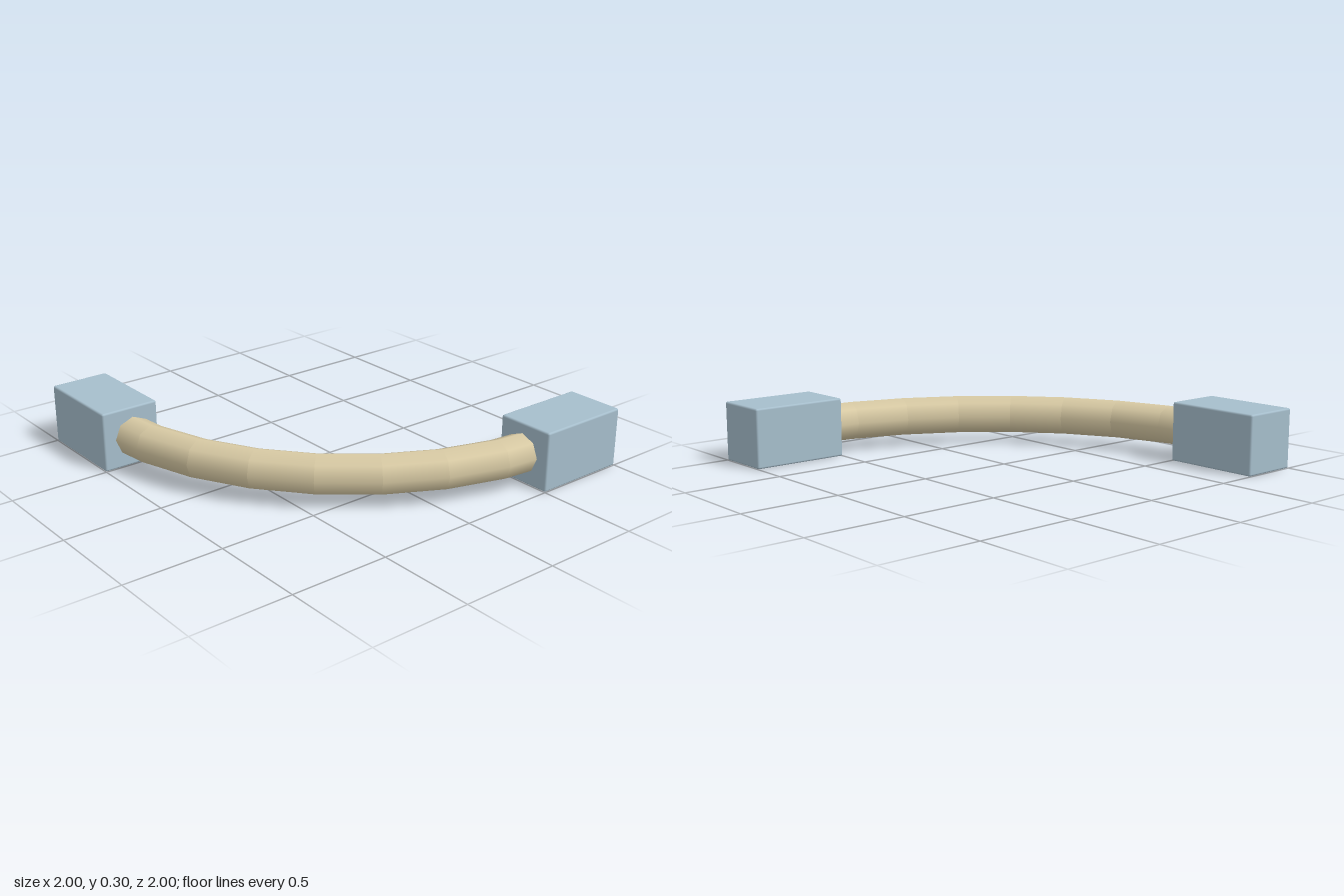
import * as THREE from 'three';
import { RoundedBoxGeometry } from 'three/addons/geometries/RoundedBoxGeometry.js';

const CENTRE = 0.65;   // bend centre at (0.65, -0.65)
const RADIUS = 1.5;    // bend radius
const Y = 0.159;       // height of the centre line
const SEGMENTS = 8;

export function createModel() {
  const model = new THREE.Group();
  model.name = 'pipeBend';
  const blue = new THREE.MeshStandardMaterial({ name: 'paleBlue', color: 0xa6becc });
  const tan = new THREE.MeshStandardMaterial({ name: 'tan', color: 0xd8caa4, side: THREE.DoubleSide });

  // End blocks with slightly softened edges
  const addBlock = (name, w, d, x, z) => {
    const block = new THREE.Mesh(new RoundedBoxGeometry(w, 0.303, d, 2, 0.01), blue);
    block.name = name;
    block.position.set(x, Y, z);
    model.add(block);
  };
  addBlock('leftBlock', 0.5, 0.303, 0.75, 0.849);
  addBlock('rearBlock', 0.303, 0.5, -0.849, -0.75);

  // One straight pipe piece, its ends mitred towards the bend centre
  const step = Math.PI / 2 / SEGMENTS;
  const apothem = RADIUS * Math.cos(step / 2);
  const piece = new THREE.CylinderGeometry(0.1, 0.1, 2 * RADIUS * Math.sin(step / 2), 8, 1, true);
  const p = piece.attributes.position;
  for (let i = 0; i < p.count; i++) p.setY(i, p.getY(i) * (1 + p.getX(i) / apothem));
  piece.rotateX(Math.PI / 2).translate(apothem, 0, 0);

  // Quarter-circle pipe made of mitred pieces
  const pipe = new THREE.Group();
  pipe.name = 'curvedPipe';
  pipe.position.set(CENTRE, Y, -CENTRE);
  for (let i = 0; i < SEGMENTS; i++) {
    const mesh = new THREE.Mesh(piece, tan);
    mesh.name = `pipePiece${i + 1}`;
    mesh.rotation.y = -Math.PI / 2 - (i + 0.5) * step;
    pipe.add(mesh);
  }
  model.add(pipe);
  return model;
}
